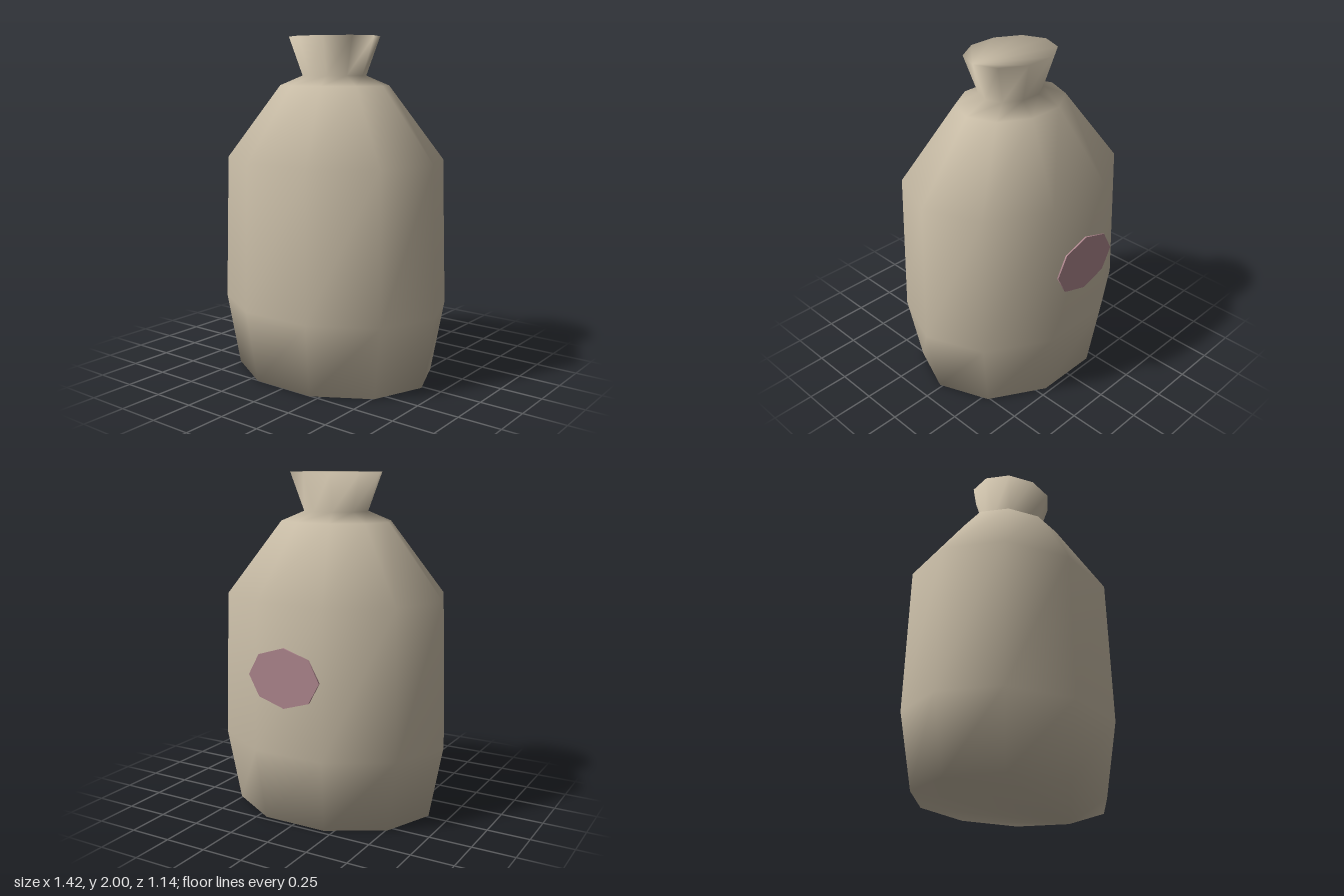
import * as THREE from 'three';

const SIDES = 10;
const DEPTH = 0.815; // ratio of depth to width
const CENTRE_Z = 0.017;

// Closed loft through elliptical rings [halfWidth, y], sharing vertices so it shades smoothly
function loft(rings) {
  const positions = [], index = [];
  for (const [r, y] of rings) {
    for (let i = 0; i < SIDES; i++) {
      const a = (i / SIDES) * Math.PI * 2;
      positions.push(r * Math.cos(a), y, r * DEPTH * Math.sin(a));
    }
  }
  for (let k = 0; k < rings.length - 1; k++) {
    for (let i = 0; i < SIDES; i++) {
      const j = (i + 1) % SIDES;
      const a = k * SIDES + i, b = k * SIDES + j;
      index.push(a, a + SIDES, b, b, a + SIDES, b + SIDES);
    }
  }
  // flat caps at the base and the mouth
  const top = (rings.length - 1) * SIDES;
  for (let i = 1; i < SIDES - 1; i++) {
    index.push(0, i, i + 1);
    index.push(top, top + i + 1, top + i);
  }
  const geometry = new THREE.BufferGeometry();
  geometry.setAttribute('position', new THREE.Float32BufferAttribute(positions, 3));
  geometry.setIndex(index);
  geometry.computeVertexNormals();
  return geometry;
}

export function createModel() {
  const burlap = new THREE.MeshStandardMaterial({ color: 0xc8bca6 });
  burlap.name = 'burlap';
  const pink = new THREE.MeshStandardMaterial({ color: 0xb0888f });
  pink.name = 'dusty pink';
  const cord = new THREE.MeshStandardMaterial({ color: 0x4a3a2a });
  cord.name = 'dark cord';

  const model = new THREE.Group();
  model.name = 'sack';
  const add = (name, geometry, material, x, y, z) => {
    const mesh = new THREE.Mesh(geometry, material);
    mesh.name = name;
    mesh.position.set(x, y, z);
    model.add(mesh);
    return mesh;
  };

  // sack body with a pinched neck and flared mouth
  add('sackBody', loft([
    [0.63, 0], [0.712, 0.43], [0.685, 1.29], [0.343, 1.718], [0.2, 1.775], [0.285, 2],
  ]), burlap, 0, 0, CENTRE_Z);

  // tie, almost wholly sunk into the cloth below the neck
  const tie = new THREE.TorusGeometry(0.189, 0.021, 8, 24);
  tie.rotateX(Math.PI / 2);
  add('neckTie', tie, cord, 0, 1.735, CENTRE_Z);

  // thin eight-sided patch behind the back
  const patch = new THREE.CylinderGeometry(0.228, 0.228, 0.009, 8);
  patch.rotateX(Math.PI / 2);
  patch.scale(1, 0.75, 1);
  add('backPatch', patch, pink, 0, 0.89, -0.568);

  return model;
}
